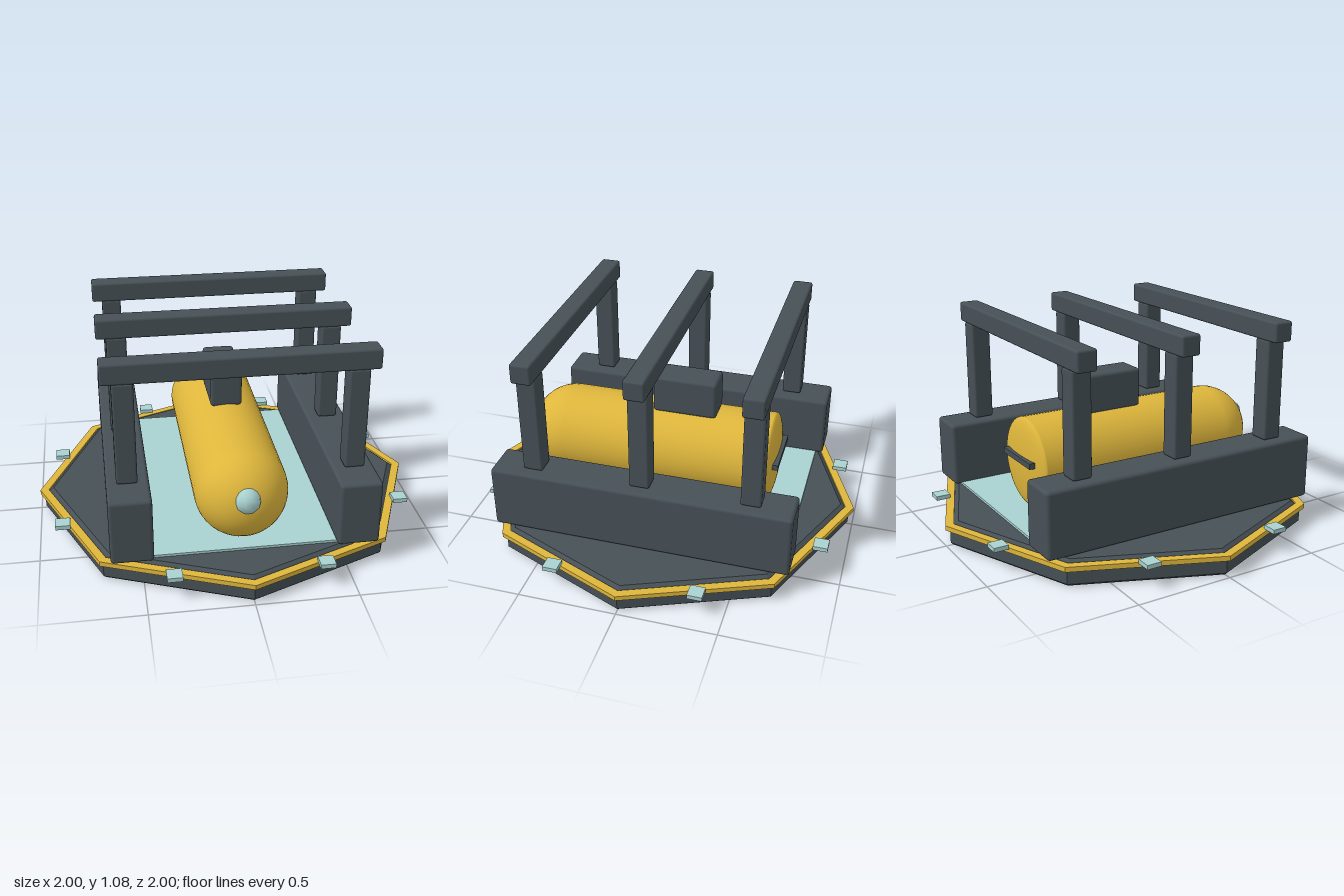
import * as THREE from 'three';
import { RoundedBoxGeometry } from 'three/addons/geometries/RoundedBoxGeometry.js';

const material = (name, color) => {
  const m = new THREE.MeshStandardMaterial({ color });
  m.name = name;
  return m;
};

export function createModel() {
  const model = new THREE.Group();
  model.name = 'transportPlatform';
  const slate = material('slate', 0x465056);
  const gold = material('gold', 0xdeb63c);
  const paleTeal = material('pale teal', 0xa9d2d0);

  const add = (name, geometry, mat, x = 0, y = 0, z = 0) => {
    const mesh = new THREE.Mesh(geometry, mat);
    mesh.name = name;
    mesh.position.set(x, y, z);
    model.add(mesh);
    return mesh;
  };
  const rounded = (w, h, d, r = 0.012) => new RoundedBoxGeometry(w, h, d, 2, r);

  // Faceted eight-sided solid from a [radius, height] profile
  const octagon = (profile) => {
    const points = profile.map(([r, y]) => new THREE.Vector2(r, y));
    const geometry = new THREE.LatheGeometry(points, 8).toNonIndexed();
    geometry.computeVertexNormals();
    return geometry;
  };

  // Octagonal base with chamfered edges and a gold rim
  add('base', octagon([
    [0, 0.005], [0.962, 0.005], [0.976, 0.018], [0.976, 0.095],
    [0.952, 0.108], [0.93, 0.125], [0, 0.125],
  ]), slate);
  add('rim', octagon([
    [0.955, 0.09], [1, 0.09], [1, 0.115], [0.955, 0.115], [0.955, 0.09],
  ]), gold);

  // Edge lights, one over the middle of each side
  for (let i = 0; i < 8; i++) {
    const a = (i + 0.5) * Math.PI / 4;
    add('edgeLight', new THREE.BoxGeometry(0.075, 0.022, 0.075), paleTeal,
      0.952 * Math.sin(a), 0.124, 0.952 * Math.cos(a));
  }

  // Floor plate between the side blocks
  add('floorPlate', new THREE.BoxGeometry(0.96, 0.015, 1.45), paleTeal, 0, 0.13, 0);

  // Side blocks
  for (const side of [-1, 1]) {
    add('sideBlock', rounded(0.208, 0.336, 1.53, 0.018), slate, side * 0.551, 0.298, 0);
  }

  // Three gantries, each two posts and a cross beam
  for (const z of [-0.553, 0, 0.553]) {
    for (const side of [-1, 1]) {
      add('gantryPost', rounded(0.102, 0.52, 0.102), slate, side * 0.554, 0.729, z);
    }
    add('gantryBeam', rounded(1.314, 0.104, 0.104), slate, 0, 1.037, z);
  }

  // Capsule body: shallow rear dome, straight barrel, round nose
  const R = 0.232, noseZ = 0.553, tailZ = -0.54, steps = 12;
  const hull = [];
  for (let i = 0; i <= steps; i++) {
    const a = (i / steps) * Math.PI / 2;
    hull.push(new THREE.Vector2(R * Math.sin(a), tailZ - 0.045 * Math.cos(a)));
  }
  for (let i = 0; i <= steps; i++) {
    const a = (i / steps) * Math.PI / 2;
    hull.push(new THREE.Vector2(i === steps ? 0 : R * Math.cos(a), noseZ + R * Math.sin(a)));
  }
  add('capsuleBody', new THREE.LatheGeometry(hull, 40).rotateX(Math.PI / 2), gold, 0, 0.367, 0);

  // Nose lamp, rear handle and top housing
  add('noseLamp', new THREE.SphereGeometry(0.068, 10, 8), paleTeal, 0, 0.42, 0.744);
  add('rearHandle', new THREE.BoxGeometry(0.3, 0.03, 0.05), slate, 0, 0.395, -0.578);
  add('topHousing', rounded(0.166, 0.205, 0.336, 0.018), slate, 0, 0.69, -0.084);

  return model;
}
